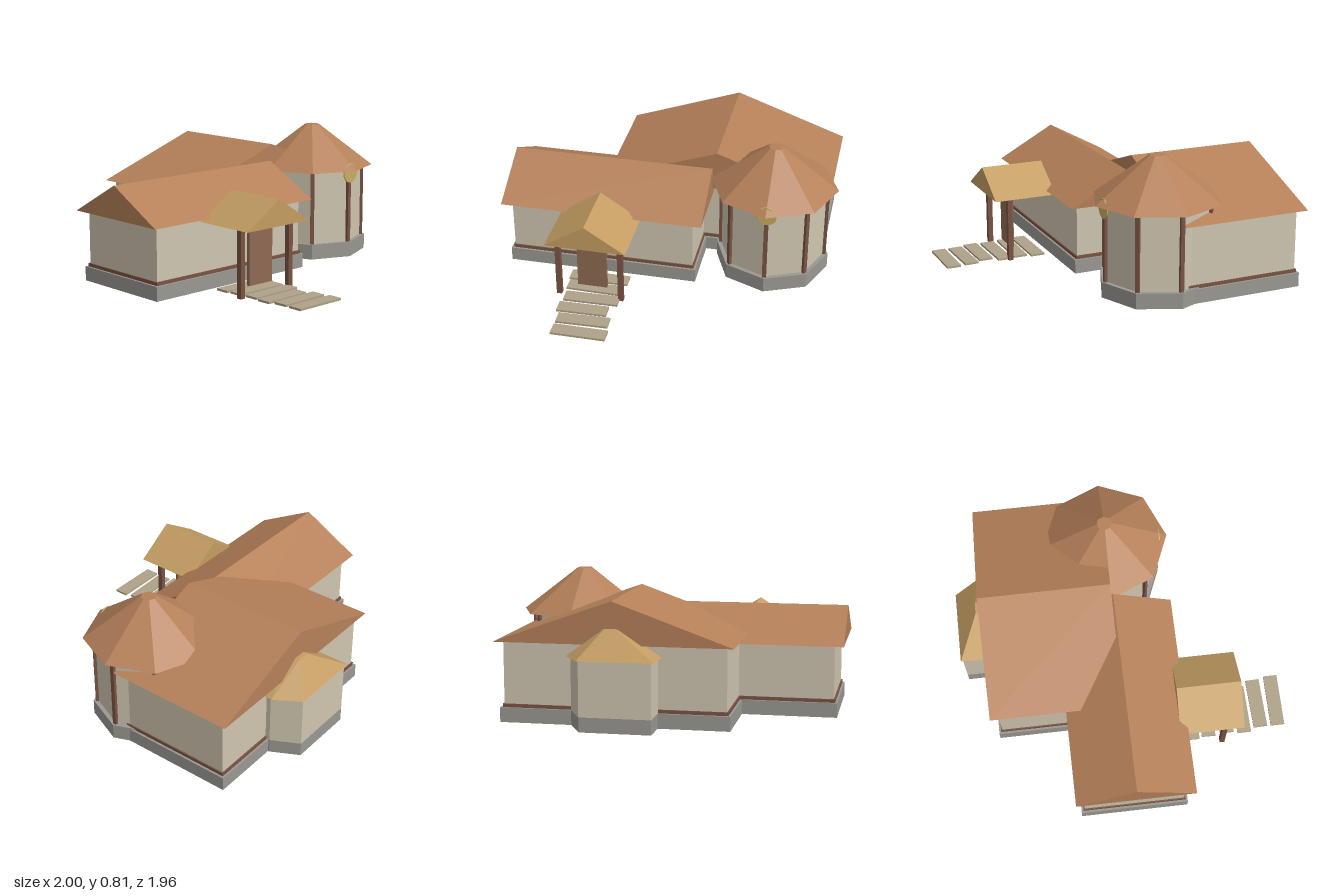
import * as THREE from 'three';
import { ConvexGeometry } from 'three/addons/geometries/ConvexGeometry.js';

const mat = (color) => new THREE.MeshStandardMaterial({ color, flatShading: true });

export function createModel() {
  const house = new THREE.Group();
  const M = {
    roof: mat(0xb58059), tan: mat(0xc49d62), wall: mat(0xcfc6b0), stone: mat(0x9a9891),
    timber: mat(0x7a5443), door: mat(0x8f6a52), slab: mat(0xb0a288), gold: mat(0xc9ad62),
  };

  const add = (name, geometry, material) => {
    const mesh = new THREE.Mesh(geometry, material);
    mesh.name = name;
    house.add(mesh);
    return mesh;
  };
  // Box given by its limits on each axis
  const box = (name, m, x0, x1, y0, y1, z0, z1) => {
    const mesh = add(name, new THREE.BoxGeometry(x1 - x0, y1 - y0, z1 - z0), m);
    mesh.position.set((x0 + x1) / 2, (y0 + y1) / 2, (z0 + z1) / 2);
    return mesh;
  };
  // Closed gable roof with its ridge along z, centred on the ridge's x
  const gable = (name, m, half, eave, ridge, length) => {
    const s = new THREE.Shape();
    s.moveTo(-half, eave);
    s.lineTo(half, eave);
    s.lineTo(0, ridge);
    s.closePath();
    return add(name, new THREE.ExtrudeGeometry(s, { depth: length, bevelEnabled: false }), m);
  };
  // Upright block over an [x, z] outline
  const block = (name, m, outline, y0, y1) => {
    const s = new THREE.Shape(outline.map(([x, z]) => new THREE.Vector2(x, -z)));
    const g = new THREE.ExtrudeGeometry(s, { depth: y1 - y0, bevelEnabled: false });
    g.rotateX(-Math.PI / 2);
    g.translate(0, y0, 0);
    return add(name, g, m);
  };
  // Walls with a stone plinth and a timber trim
  const body = (name, x0, x1, z0, z1, top) => {
    const p = 0.021, t = 0.008;
    box(name + 'Walls', M.wall, x0, x1, 0.085, top, z0, z1);
    box(name + 'Plinth', M.stone, x0 - p, x1 + p, 0, 0.085, z0 - p, z1 + p);
    box(name + 'Trim', M.timber, x0 - t, x1 + t, 0.085, 0.105, z0 - t, z1 + t);
  };

  // Side wing
  body('wing', -0.945, 0.17, -0.325, 0.285, 0.422);
  const wingRoof = gable('wingRoof', M.roof, 0.357, 0.42, 0.615, 1.23);
  wingRoof.rotation.y = Math.PI / 2;
  wingRoof.position.set(-1, 0, -0.017);

  // Main hall
  body('main', -0.39, 0.895, -0.782, -0.08, 0.472);
  gable('mainRoof', M.roof, 0.688, 0.468, 0.715, 0.8).position.set(0.254, 0, -0.83);

  // Octagonal tower
  const cx = 0.61, cz = -0.027;
  const octagon = (name, m, rTop, rBottom, y0, y1) => {
    const mesh = add(name, new THREE.CylinderGeometry(rTop, rBottom, y1 - y0, 8), m);
    mesh.position.set(cx, (y0 + y1) / 2, cz);
  };
  octagon('towerPlinth', M.stone, 0.345, 0.345, 0, 0.093);
  octagon('towerWalls', M.wall, 0.318, 0.318, 0.09, 0.555);
  octagon('towerRoof', M.roof, 0.045, 0.385, 0.55, 0.81);
  for (let i = 0; i < 8; i++) {
    const a = (i * Math.PI) / 4;
    const post = box('towerPost', M.timber, -0.012, 0.012, 0.09, 0.552, -0.012, 0.012);
    post.position.x = cx + 0.32 * Math.sin(a);
    post.position.z = cz + 0.32 * Math.cos(a);
    post.rotation.y = a;
  }

  // Round ornament under the tower eave
  const disc = add('ornamentDisc', new THREE.CylinderGeometry(0.055, 0.055, 0.01, 20), M.gold);
  disc.rotation.x = Math.PI / 2;
  disc.position.set(cx, 0.532, 0.308);
  add('ornamentRim', new THREE.TorusGeometry(0.057, 0.004, 6, 24), M.gold).position.set(cx, 0.532, 0.308);

  // Rear bay with one slanted side and a hipped roof
  const bay = [[0, -0.97], [0, -0.77], [0.495, -0.77], [0.495, -0.81], [0.41, -0.97]];
  block('bayPlinth', M.stone, bay, 0, 0.085);
  block('bayWalls', M.wall, bay, 0.085, 0.402);
  const eave = [[-0.02, -0.98], [0.42, -0.98], [0.515, -0.83], [0.515, -0.78], [-0.02, -0.78]];
  const crown = [[0.22, -0.855], [0.29, -0.855], [0.31, -0.78], [0.22, -0.78]];
  add('bayRoof', new ConvexGeometry([
    ...eave.map(([x, z]) => new THREE.Vector3(x, 0.4, z)),
    ...crown.map(([x, z]) => new THREE.Vector3(x, 0.56, z)),
  ]), M.tan);

  // Entrance porch
  gable('porchRoof', M.tan, 0.242, 0.4, 0.555, 0.388).position.set(-0.388, 0, 0.292);
  for (const x of [-0.58, -0.203]) {
    box('porchPost', M.timber, x - 0.016, x + 0.016, 0, 0.402, 0.56, 0.59);
  }
  box('door', M.door, -0.477, -0.298, 0.045, 0.365, 0.515, 0.535);
  box('doorLintel', M.timber, -0.503, -0.275, 0.363, 0.39, 0.505, 0.54);

  // Path slabs, each [left x, right x, middle z, turn]
  const slabs = [
    [-0.56, -0.2, 0.395, 0], [-0.55, -0.22, 0.5, -0.02], [-0.54, -0.21, 0.61, 0.02],
    [-0.55, -0.25, 0.72, 0.02], [-0.525, -0.215, 0.825, 0.03], [-0.525, -0.2, 0.938, 0],
  ];
  for (const [x0, x1, z, turn] of slabs) {
    box('pathSlab', M.slab, x0, x1, 0, 0.013, z - 0.043, z + 0.043).rotation.y = turn;
  }
  return house;
}
